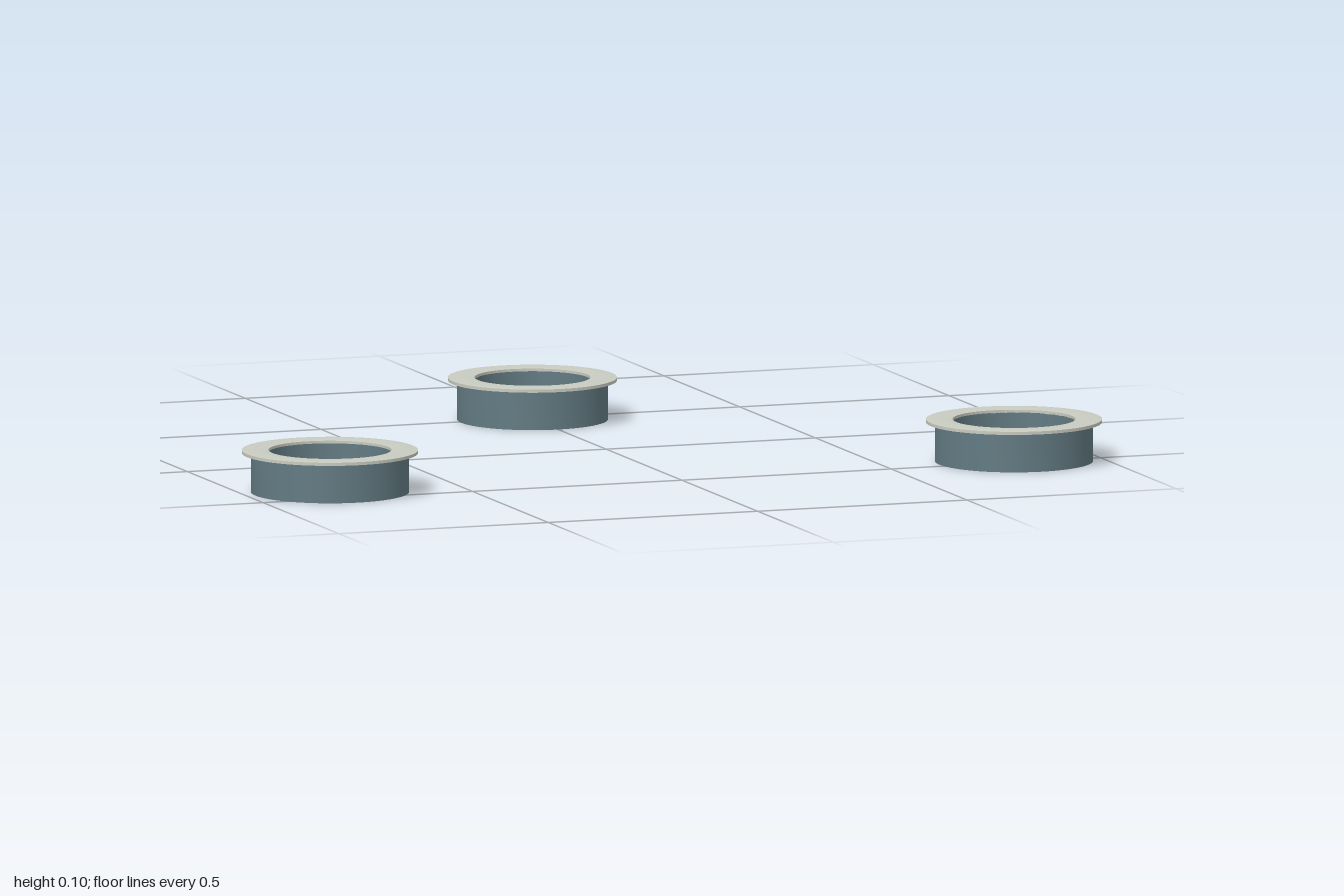
import * as THREE from 'three';
import { toCreasedNormals } from 'three/addons/utils/BufferGeometryUtils.js';

const shellMaterial = new THREE.MeshStandardMaterial({ color: 0x627a82 });
shellMaterial.name = 'slate blue';
const rimMaterial = new THREE.MeshStandardMaterial({ color: 0xc8cbc0 });
rimMaterial.name = 'pale grey';

// Revolves a profile that runs up the outside and down the inside
function turned(name, profile, material) {
  const points = profile.map(([r, y]) => new THREE.Vector2(r, y));
  const geometry = toCreasedNormals(new THREE.LatheGeometry(points, 64), 0.6);
  const mesh = new THREE.Mesh(geometry, material);
  mesh.name = name;
  return mesh;
}

// One round cup with a floor and a flat, slightly crowned rim
function createCup(name, radius, x, z) {
  const cup = new THREE.Group();
  cup.name = name;
  const outer = radius - 0.02;
  const inner = radius - 0.06;
  cup.add(turned('cupShell', [
    [0, 0], [outer, 0], [outer, 0.089], [inner, 0.089], [inner, 0.01], [0, 0.01],
  ], shellMaterial));
  cup.add(turned('cupRim', [
    [inner, 0.088], [radius, 0.088], [radius, 0.095],
    [(radius + inner) / 2, 0.098], [inner, 0.095], [inner, 0.088],
  ], rimMaterial));
  cup.position.set(x, 0, z);
  return cup;
}

export function createModel() {
  const model = new THREE.Group();
  model.name = 'recessedCups';
  model.add(
    createCup('rightCup', 0.198, -0.802, 0.394),
    createCup('leftCup', 0.198, 0.802, 0.476),
    createCup('backCup', 0.19, 0, -0.486),
  );
  return model;
}
